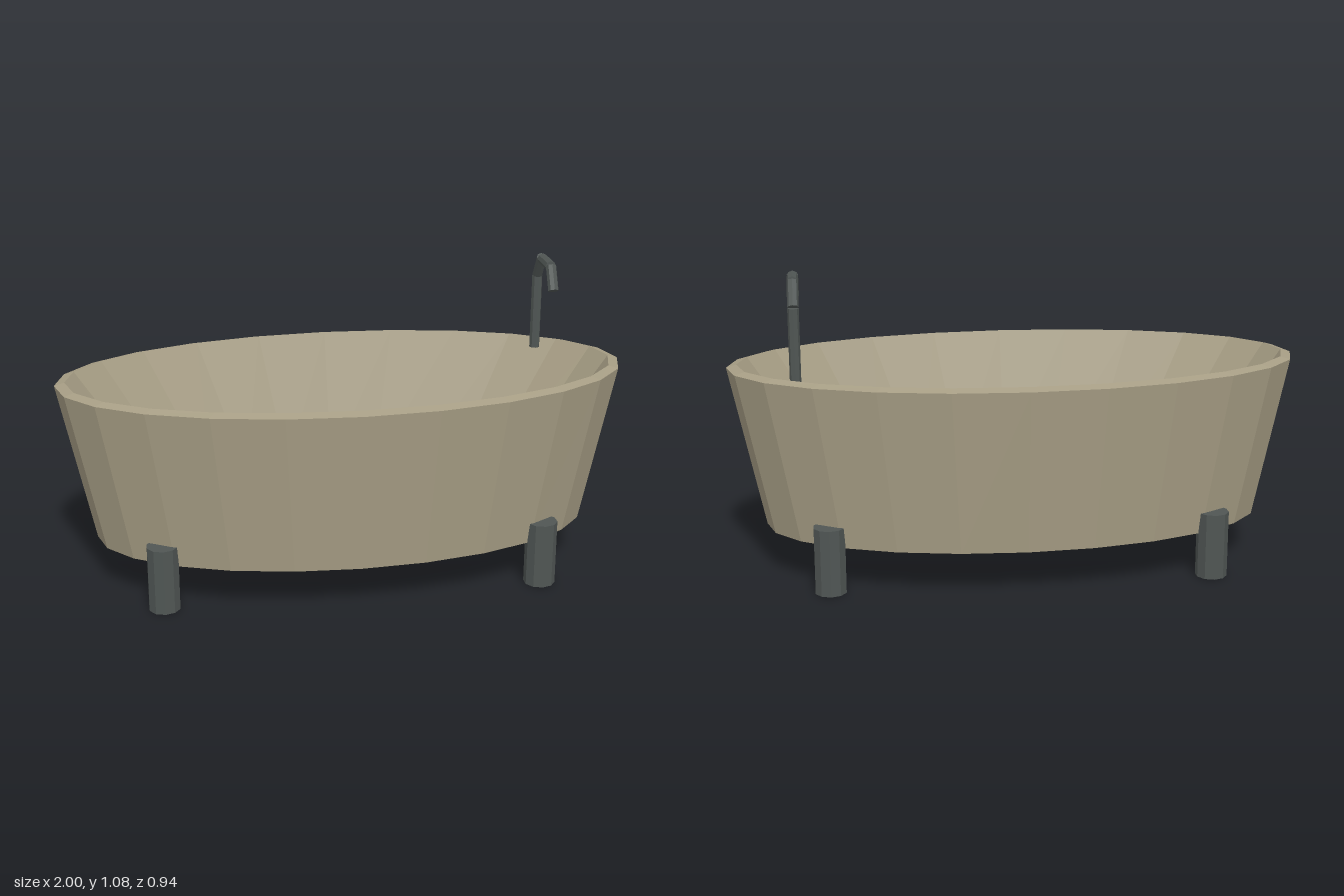
import * as THREE from 'three';

const SIDES = 24;

// Loft through elliptical rings [halfWidth, halfDepth, y]; a zero ring closes to a point
function loft(rings) {
  const pos = [], index = [];
  for (const [a, b, y] of rings) {
    for (let i = 0; i < SIDES; i++) {
      const t = (i / SIDES) * Math.PI * 2;
      pos.push(a * Math.cos(t), y, b * Math.sin(t));
    }
  }
  for (let r = 0; r < rings.length - 1; r++) {
    for (let i = 0; i < SIDES; i++) {
      const j = (i + 1) % SIDES;
      const p0 = r * SIDES + i, p1 = r * SIDES + j;
      const q0 = p0 + SIDES, q1 = p1 + SIDES;
      index.push(p0, q0, p1);
      if (rings[r + 1][0] > 0) index.push(p1, q0, q1);
    }
  }
  const g = new THREE.BufferGeometry();
  g.setAttribute('position', new THREE.Float32BufferAttribute(pos, 3));
  g.setIndex(index);
  g.computeVertexNormals();
  return g;
}

export function createModel() {
  const model = new THREE.Group();
  model.name = 'bathtub';

  const stone = new THREE.MeshStandardMaterial({ color: 0xa69d84, flatShading: true, side: THREE.DoubleSide });
  stone.name = 'warm stone';
  const metal = new THREE.MeshStandardMaterial({ color: 0x505654, flatShading: true });
  metal.name = 'dark metal';

  const add = (name, geometry, material, parent = model) => {
    const mesh = new THREE.Mesh(geometry, material);
    mesh.name = name;
    parent.add(mesh);
    return mesh;
  };

  // Tub: outer wall open at the bottom, bevelled rim, inner basin with a dished floor
  const lip = [1, 0.468, 0.732], crest = [0.965, 0.435, 0.742], floorEdge = [0.64, 0.28, 0.27];
  add('outerShell', loft([[0.88, 0.41, 0.16], lip]), stone);
  add('rim', loft([lip, crest]), stone);
  add('basinWall', loft([crest, floorEdge]), stone);
  add('basinFloor', loft([floorEdge, [0.34, 0.14, 0.205], [0, 0, 0.2]]), stone);

  // Four short legs
  const legGeometry = new THREE.CylinderGeometry(0.0555, 0.0555, 0.235, 10);
  for (const sx of [-1, 1]) {
    for (const sz of [-1, 1]) {
      const name = (sz > 0 ? 'front' : 'back') + (sx > 0 ? 'Left' : 'Right') + 'Leg';
      add(name, legGeometry, metal).position.set(sx * 0.665, 0.1175, sz * 0.278);
    }
  }

  // Tap: straight pipe pieces joined at angles, each given as start and end [z, y]
  const tap = new THREE.Group();
  tap.name = 'tap';
  tap.position.x = 0.76;
  model.add(tap);
  const pipes = {
    tapRiser: [[-0.238, 0.71], [-0.238, 0.983]],
    tapRearBend: [[-0.238, 0.986], [-0.187, 1.065]],
    tapTop: [[-0.181, 1.06], [-0.073, 1.06]],
    tapSpout: [[-0.07, 1.064], [-0.026, 0.983]],
  };
  for (const [name, [[z0, y0], [z1, y1]]] of Object.entries(pipes)) {
    const dz = z1 - z0, dy = y1 - y0;
    const pipe = add(name, new THREE.CylinderGeometry(0.019, 0.019, Math.hypot(dz, dy), 8), metal, tap);
    pipe.position.set(0, (y0 + y1) / 2, (z0 + z1) / 2);
    pipe.rotation.x = Math.atan2(dz, dy);
  }

  return model;
}
